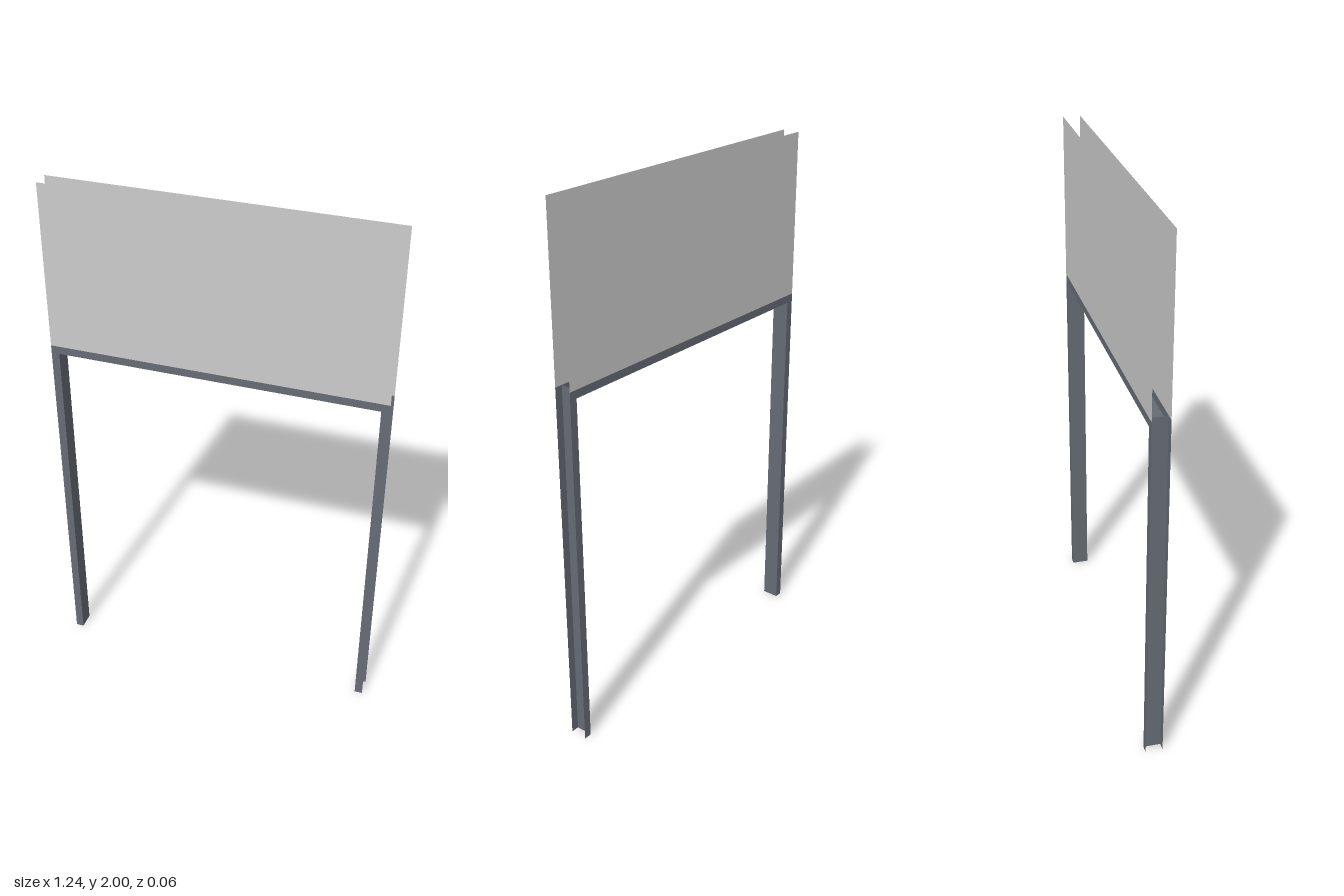
import * as THREE from 'three';

const HALF_W = 0.622; // outer half width
const HALF_D = 0.032; // half depth of the channel
const FLANGE = 0.03; // flange width
const FRAME_H = 1.377; // top of the frame
const TOP = 2;

const steel = new THREE.MeshStandardMaterial({ color: 0x666b74, side: THREE.DoubleSide });
const board = new THREE.MeshStandardMaterial({ color: 0xcccccc, side: THREE.DoubleSide });

function sheet(name, width, height, material) {
  const mesh = new THREE.Mesh(new THREE.PlaneGeometry(width, height), material);
  mesh.name = name;
  return mesh;
}

// Thin sheet channel along y, web at x = 0, flanges reaching towards +x
function channel(name, length) {
  const group = new THREE.Group();
  group.name = name;
  const web = sheet('web', 2 * HALF_D, length, steel);
  web.rotation.y = -Math.PI / 2;
  group.add(web);
  for (const s of [1, -1]) {
    const flange = sheet(s > 0 ? 'frontFlange' : 'backFlange', FLANGE, length, steel);
    flange.position.set(FLANGE / 2, 0, s * HALF_D);
    if (s < 0) flange.rotation.y = Math.PI;
    group.add(flange);
  }
  return group;
}

export function createModel() {
  const model = new THREE.Group();
  model.name = 'signFrame';
  const inner = HALF_W - FLANGE;

  // Legs, open sides facing outward
  for (const s of [1, -1]) {
    const leg = channel(s > 0 ? 'leftLeg' : 'rightLeg', FRAME_H);
    leg.position.set(s * inner, FRAME_H / 2, 0);
    if (s < 0) leg.rotation.y = Math.PI;
    model.add(leg);
  }

  // Crossbeam, open side facing up
  const beam = channel('crossbeam', 2 * inner);
  beam.rotation.z = Math.PI / 2;
  beam.position.y = FRAME_H - FLANGE;
  model.add(beam);

  // Front and back boards above the frame
  for (const s of [1, -1]) {
    const panel = sheet(s > 0 ? 'frontPanel' : 'backPanel', 2 * HALF_W, TOP - FRAME_H, board);
    panel.position.set(0, (TOP + FRAME_H) / 2, s * HALF_D);
    if (s < 0) panel.rotation.y = Math.PI;
    model.add(panel);
  }
  return model;
}
